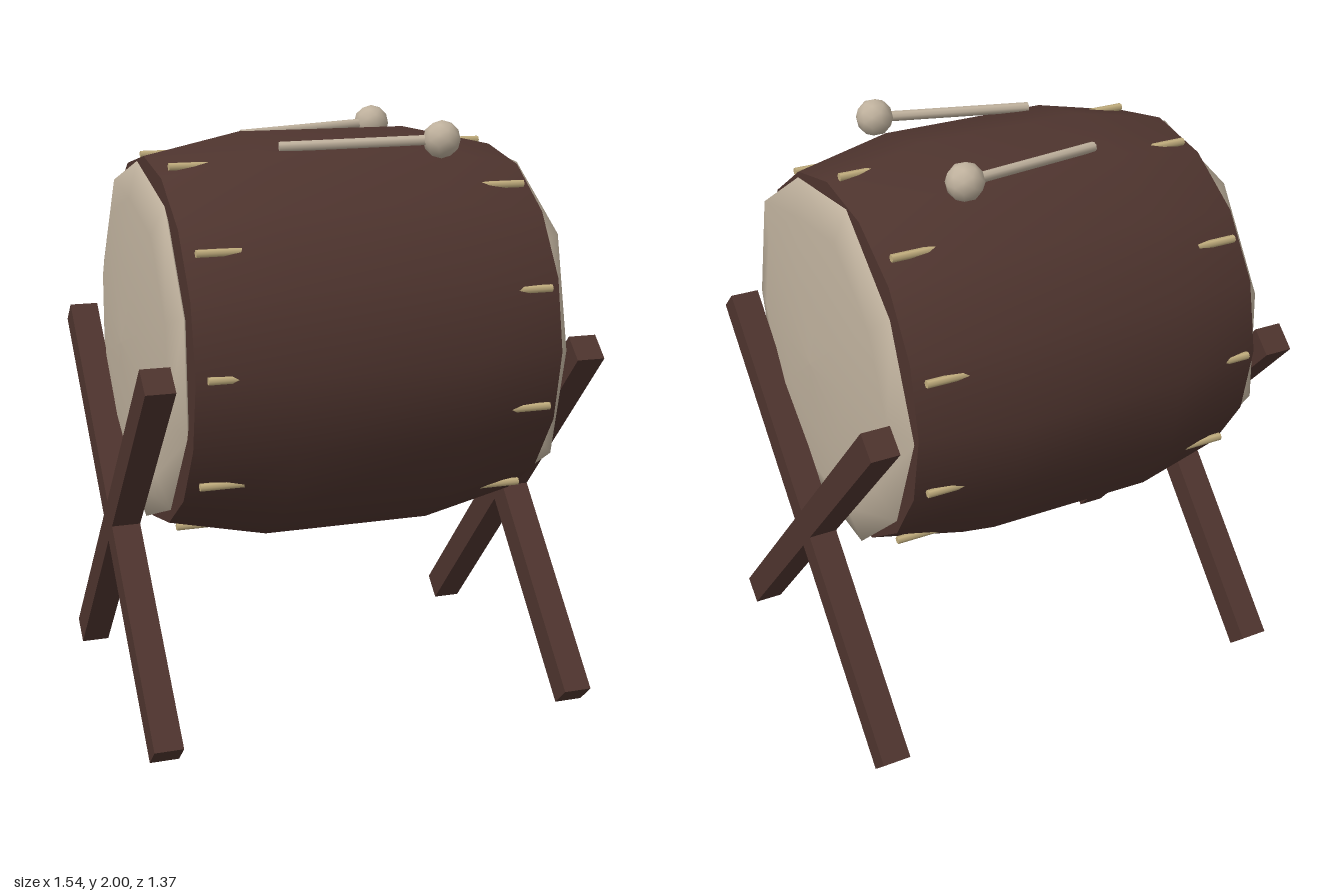
import * as THREE from 'three';

const material = (name, color) => {
  const m = new THREE.MeshStandardMaterial({ color });
  m.name = name;
  return m;
};

export function createModel() {
  const wood = material('dark wood', 0x4e342e);
  const hide = material('pale hide', 0xbfb19d);
  const tack = material('tan tack', 0xc2ae7e);

  const model = new THREE.Group();
  model.name = 'barrelDrum';
  const axisY = 1.268;

  const add = (parent, name, geometry, mat) => {
    const mesh = new THREE.Mesh(geometry, mat);
    mesh.name = name;
    parent.add(mesh);
    return mesh;
  };
  const v2 = (r, h) => new THREE.Vector2(r, h);

  // Barrel, lying along x
  const barrel = new THREE.LatheGeometry(
    [v2(0.615, -0.615), v2(0.685, -0.29), v2(0.685, 0.29), v2(0.615, 0.615)], 16);
  barrel.rotateZ(-Math.PI / 2);
  add(model, 'barrel', barrel, wood).position.y = axisY;

  // Skin: ten-sided lens with slightly alternating radii
  const makeSkin = (large, small, turn) => {
    const g = new THREE.LatheGeometry(
      [v2(0.86, 0.61), v2(1, 0.637), v2(0.8, 0.667), v2(0.42, 0.698), v2(0, 0.708)], 10);
    const p = g.attributes.position;
    for (let i = 0; i < p.count; i++) {
      const r = Math.floor(i / 5) % 2 ? large : small;
      p.setX(i, p.getX(i) * r);
      p.setZ(i, p.getZ(i) * r);
    }
    return g.rotateY(turn);
  };

  for (const side of [1, -1]) {
    const label = side > 0 ? 'left' : 'right';

    // End of the barrel and its skin
    const end = add(model, label + 'BarrelEnd', new THREE.CircleGeometry(0.615, 16), wood);
    end.position.set(side * 0.615, axisY, 0);
    end.rotation.y = side * Math.PI / 2;

    const skinShape = side > 0 ? makeSkin(0.63, 0.6, 0) : makeSkin(0.615, 0.6, Math.PI / 10);
    const skin = add(model, label + 'Skin', skinShape, hide);
    skin.position.y = axisY;
    skin.rotation.z = -side * Math.PI / 2;

    // Ring of tacks sunk into the barrel
    const tacks = new THREE.Group();
    tacks.name = label + 'Tacks';
    tacks.position.y = axisY;
    model.add(tacks);
    for (let i = 0; i < 10; i++) {
      const a = i * Math.PI / 5 + (side > 0 ? 0.34 : 0);
      const t = add(tacks, 'tack', new THREE.CylinderGeometry(0.013, 0.013, 0.16, 6), tack);
      t.rotation.z = Math.PI / 2;
      t.position.set(side * 0.5, Math.sin(a) * 0.63, Math.cos(a) * 0.63);
    }

    // Crossed stand
    const stand = new THREE.Group();
    stand.name = label + 'Stand';
    stand.position.set(side * 0.723, 0.65, 0);
    model.add(stand);
    for (const lean of [1, -1]) {
      const beam = add(stand, 'standBeam', new THREE.BoxGeometry(0.097, 1.688, 0.096), wood);
      beam.rotation.x = lean * THREE.MathUtils.degToRad(43);
    }
  }

  // Drumsticks resting on top
  for (const side of [1, -1]) {
    const stick = new THREE.Group();
    stick.name = side > 0 ? 'frontDrumstick' : 'backDrumstick';
    model.add(stick);
    const tail = new THREE.Vector3(-0.22, 1.92, side * 0.215);
    const tip = new THREE.Vector3(0.3, 1.938, side * 0.325);
    const dir = tip.clone().sub(tail);
    const shaft = add(stick, 'stickShaft',
      new THREE.CylinderGeometry(0.017, 0.017, dir.length(), 8), hide);
    shaft.position.copy(tail).add(tip).multiplyScalar(0.5);
    shaft.quaternion.setFromUnitVectors(new THREE.Vector3(0, 1, 0), dir.normalize());
    add(stick, 'stickBall', new THREE.IcosahedronGeometry(0.062, 1), hide).position.copy(tip);
  }

  return model;
}
